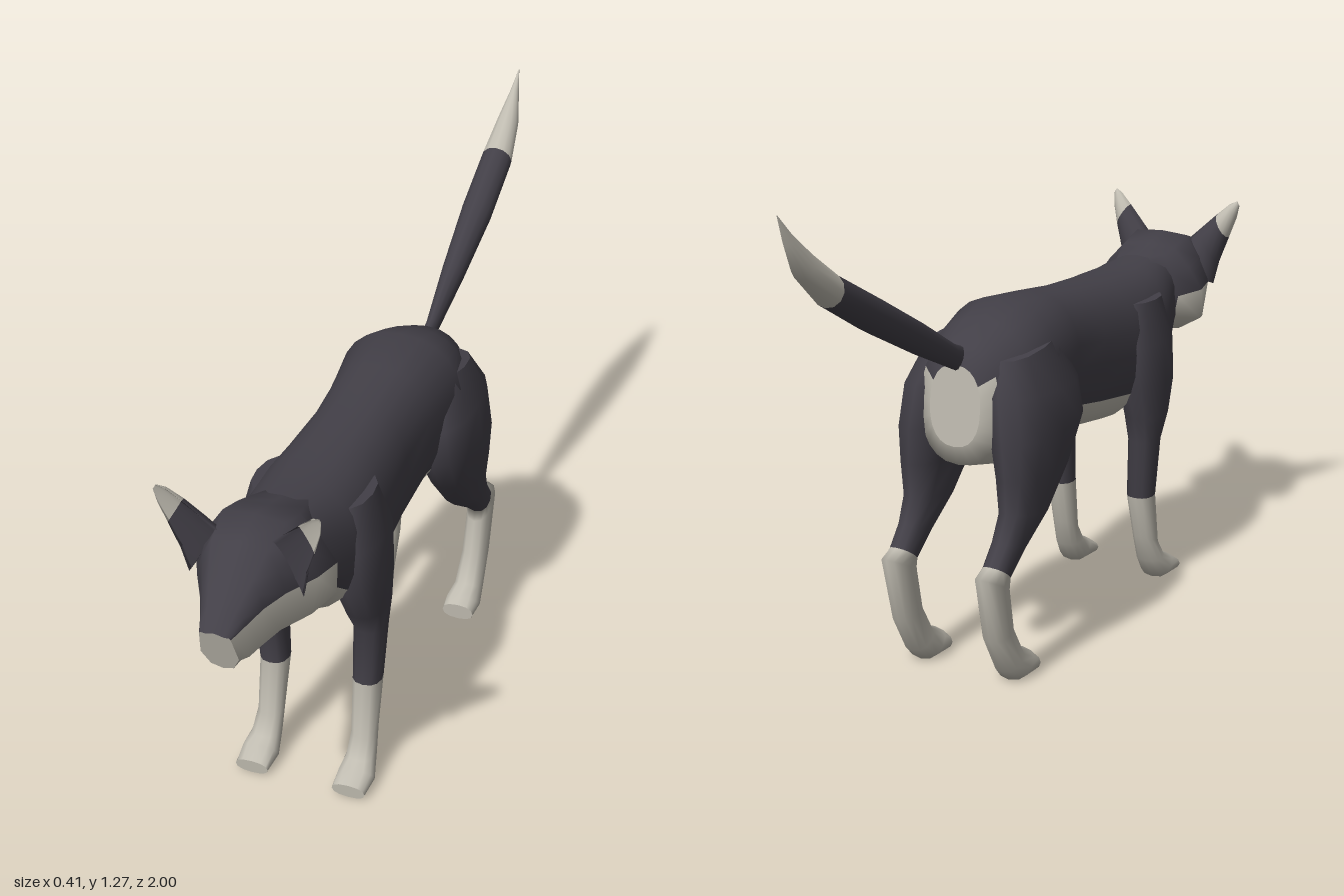
import * as THREE from 'three';

const darkFur = new THREE.MeshStandardMaterial({ color: 0x423f47 });
darkFur.name = 'darkFur';
const paleFur = new THREE.MeshStandardMaterial({ color: 0xbfbbb0 });
paleFur.name = 'paleFur';

// Skin a list of rings; isPale(strip, segment) chooses the colour of each quad
function loft(name, rings, isPale, startPale = false, endPale = false) {
  const n = rings[0].length, pos = rings.flat(2), faces = [[], []];
  rings.slice(1).forEach((_, i) => {
    for (let j = 0; j < n; j++) {
      const a = i * n + j, b = i * n + (j + 1) % n;
      faces[isPale(i, j) ? 1 : 0].push(a, b, a + n, b, b + n, a + n);
    }
  });
  // Closed ends with their own vertices, so their rim stays sharp
  const cap = (ring, pale, flip) => {
    const start = pos.length / 3, mid = [0, 1, 2].map(k => ring.reduce((s, p) => s + p[k], 0) / n);
    pos.push(...ring.flat(), ...mid);
    for (let j = 0; j < n; j++) {
      const a = start + j, b = start + (j + 1) % n;
      faces[pale ? 1 : 0].push(...(flip ? [b, a, start + n] : [a, b, start + n]));
    }
  };
  cap(rings[0], startPale, true);
  cap(rings[rings.length - 1], endPale, false);
  // Turn every face outwards, judged by the signed volume
  const index = [...faces[0], ...faces[1]];
  const P = i => new THREE.Vector3().fromArray(pos, i * 3);
  let volume = 0;
  for (let i = 0; i < index.length; i += 3) {
    volume += P(index[i]).dot(P(index[i + 1]).cross(P(index[i + 2])));
  }
  if (volume < 0) {
    for (let i = 0; i < index.length; i += 3) [index[i], index[i + 1]] = [index[i + 1], index[i]];
  }
  const g = new THREE.BufferGeometry();
  g.setAttribute('position', new THREE.Float32BufferAttribute(pos, 3));
  g.setIndex(index);
  g.addGroup(0, faces[0].length, 0);
  g.addGroup(faces[0].length, faces[1].length, 1);
  g.computeVertexNormals();
  const mesh = new THREE.Mesh(g, [darkFur, paleFur]);
  mesh.name = name;
  return mesh;
}

// Rounded ring spanning two points of the side profile, [z, y] each
function ring([za, ya, zb, yb, x, rx], n, side = 1, power = 0.85) {
  const soft = v => Math.sign(v) * Math.abs(v) ** power;
  return Array.from({ length: n }, (_, j) => {
    const t = j / n * Math.PI * 2, c = soft(Math.cos(t)), s = soft(Math.sin(t));
    return [side * (x + rx * s), (ya + yb) / 2 + (ya - yb) / 2 * c, (za + zb) / 2 + (za - zb) / 2 * c];
  });
}

// Torso: top z, y, bottom z, y, centre x, half width
const TORSO = [
  [0.70, 0.87, 0.73, 0.67, 0, 0.09], [0.62, 0.868, 0.66, 0.61, 0, 0.112],
  [0.54, 0.86, 0.57, 0.525, 0, 0.14], [0.45, 0.862, 0.46, 0.492, 0, 0.15],
  [0.35, 0.865, 0.35, 0.48, 0, 0.145], [0.20, 0.875, 0.20, 0.50, 0, 0.135],
  [0.05, 0.893, 0.05, 0.53, 0, 0.14], [-0.10, 0.907, -0.10, 0.54, 0, 0.165],
  [-0.20, 0.875, -0.22, 0.52, 0, 0.15], [-0.29, 0.835, -0.31, 0.54, 0, 0.11],
  [-0.315, 0.79, -0.328, 0.59, 0, 0.07],
];

// Legs: front z, y, rear z, y, centre x, half width
const FRONT_LEG = [
  [0.54, 0.80, 0.37, 0.80, 0.09, 0.055], [0.565, 0.69, 0.335, 0.69, 0.11, 0.065],
  [0.56, 0.58, 0.345, 0.58, 0.12, 0.06], [0.52, 0.49, 0.37, 0.49, 0.128, 0.05],
  [0.478, 0.42, 0.386, 0.42, 0.13, 0.04], [0.472, 0.26, 0.395, 0.26, 0.122, 0.036],
  [0.493, 0.11, 0.43, 0.137, 0.124, 0.033], [0.525, 0.068, 0.456, 0.06, 0.126, 0.037],
  [0.55, 0.06, 0.50, 0, 0.128, 0.046], [0.585, 0.036, 0.583, 0, 0.128, 0.043],
];
const HIND_LEG = [
  [-0.04, 0.83, -0.27, 0.80, 0.09, 0.06], [0.02, 0.71, -0.315, 0.72, 0.115, 0.078],
  [0.025, 0.62, -0.325, 0.61, 0.13, 0.075], [-0.04, 0.52, -0.32, 0.52, 0.135, 0.06],
  [-0.14, 0.41, -0.315, 0.437, 0.135, 0.045], [-0.25, 0.335, -0.345, 0.375, 0.133, 0.035],
  [-0.32, 0.28, -0.385, 0.327, 0.132, 0.032], [-0.316, 0.25, -0.43, 0.31, 0.132, 0.033],
  [-0.30, 0.15, -0.385, 0.135, 0.13, 0.034], [-0.26, 0.08, -0.325, 0.035, 0.13, 0.038],
  [-0.22, 0.062, -0.29, 0, 0.128, 0.046], [-0.205, 0.045, -0.207, 0, 0.128, 0.043],
];

// Tail: upper z, y, lower z, y, centre x, half width
const TAIL = [
  [-0.26, 0.82, -0.29, 0.765, 0, 0.014], [-0.32, 0.843, -0.34, 0.788, 0, 0.016],
  [-0.47, 0.932, -0.50, 0.862, 0, 0.03], [-0.65, 1.03, -0.685, 0.955, 0, 0.042],
  [-0.815, 1.118, -0.84, 1.045, 0, 0.042], [-0.90, 1.18, -0.93, 1.125, 0, 0.03],
  [-0.96, 1.232, -0.972, 1.205, 0, 0.013], [-1, 1.275, -1, 1.274, 0, 0.001],
];

// Head: z, top y, top half width, cheek y, x, jaw y, x, bottom y, backward slant
const HEAD = [
  [0.60, 0.86, 0.05, 0.74, 0.09, 0.68, 0.075, 0.63, 0],
  [0.66, 0.876, 0.065, 0.76, 0.112, 0.70, 0.10, 0.655, 0],
  [0.705, 0.887, 0.075, 0.775, 0.16, 0.695, 0.158, 0.65, 0],
  [0.78, 0.91, 0.075, 0.78, 0.145, 0.68, 0.13, 0.645, 0],
  [0.86, 0.885, 0.065, 0.78, 0.105, 0.68, 0.09, 0.645, 0],
  [0.91, 0.835, 0.05, 0.765, 0.075, 0.67, 0.07, 0.645, 0],
  [0.96, 0.785, 0.034, 0.745, 0.053, 0.66, 0.055, 0.635, 0.1],
  [1, 0.742, 0.022, 0.732, 0.037, 0.67, 0.045, 0.628, 0.3],
];
function headRing([z, top, tw, cy, cx, jy, jx, bot, slant]) {
  const half = [[0, top], [tw, top - 0.006], [(tw + cx) / 2 + 0.005, (top + cy) / 2],
    [cx, cy], [jx, jy], [jx * 0.6, bot + 0.008], [0, bot]];
  const mirrored = half.slice(1, -1).reverse().map(([x, y]) => [-x, y]);
  return [...half, ...mirrored].map(([x, y]) => [x, y, z - slant * (top - y)]);
}

// Ear: centre x, y, z, half length across, half depth; the front is scooped
const EAR = [
  [0.10, 0.825, 0.82, 0.072, 0.045], [0.122, 0.872, 0.83, 0.053, 0.042],
  [0.153, 0.925, 0.843, 0.036, 0.034], [0.178, 0.967, 0.857, 0.021, 0.02],
  [0.19, 0.988, 0.868, 0.007, 0.006],
];
function earRing([x, y, z, length, depth], side) {
  return Array.from({ length: 12 }, (_, j) => {
    const t = j / 12 * Math.PI * 2, c = Math.cos(t) * length, s = Math.sin(t);
    return [side * (x + c * 0.5), y - c * 0.866, z + depth * (s > 0 ? -0.15 * s : s) + depth * 0.35];
  });
}

export function createModel() {
  const model = new THREE.Group();
  model.name = 'animal';
  const last = TORSO.length - 2;
  model.add(
    // Pale belly, chest and rump
    loft('torso', TORSO.map(r => ring(r, 24)),
      (i, j) => i === last ? j >= 4 && j <= 19 : j >= 8 && j <= 15, false, true),
    // Pale cheeks, jaw and nose
    loft('head', HEAD.map(headRing),
      (i, j) => i === 0 ? j === 5 || j === 6 : j >= 3 && j <= 8, false, true),
    loft('tail', TAIL.map(r => ring(r, 12, 1, 1)), i => i >= 4, false, true),
  );
  // Mirrored legs with pale socks, and ears with pale tips
  for (const [label, side] of [['left', 1], ['right', -1]]) {
    model.add(
      loft(label + 'FrontLeg', FRONT_LEG.map(r => ring(r, 12, side)), i => i >= 5, false, true),
      loft(label + 'HindLeg', HIND_LEG.map(r => ring(r, 12, side)), i => i >= 6, false, true),
      loft(label + 'Ear', EAR.map(r => earRing(r, side)), i => i >= 2, false, true),
    );
  }
  return model;
}
